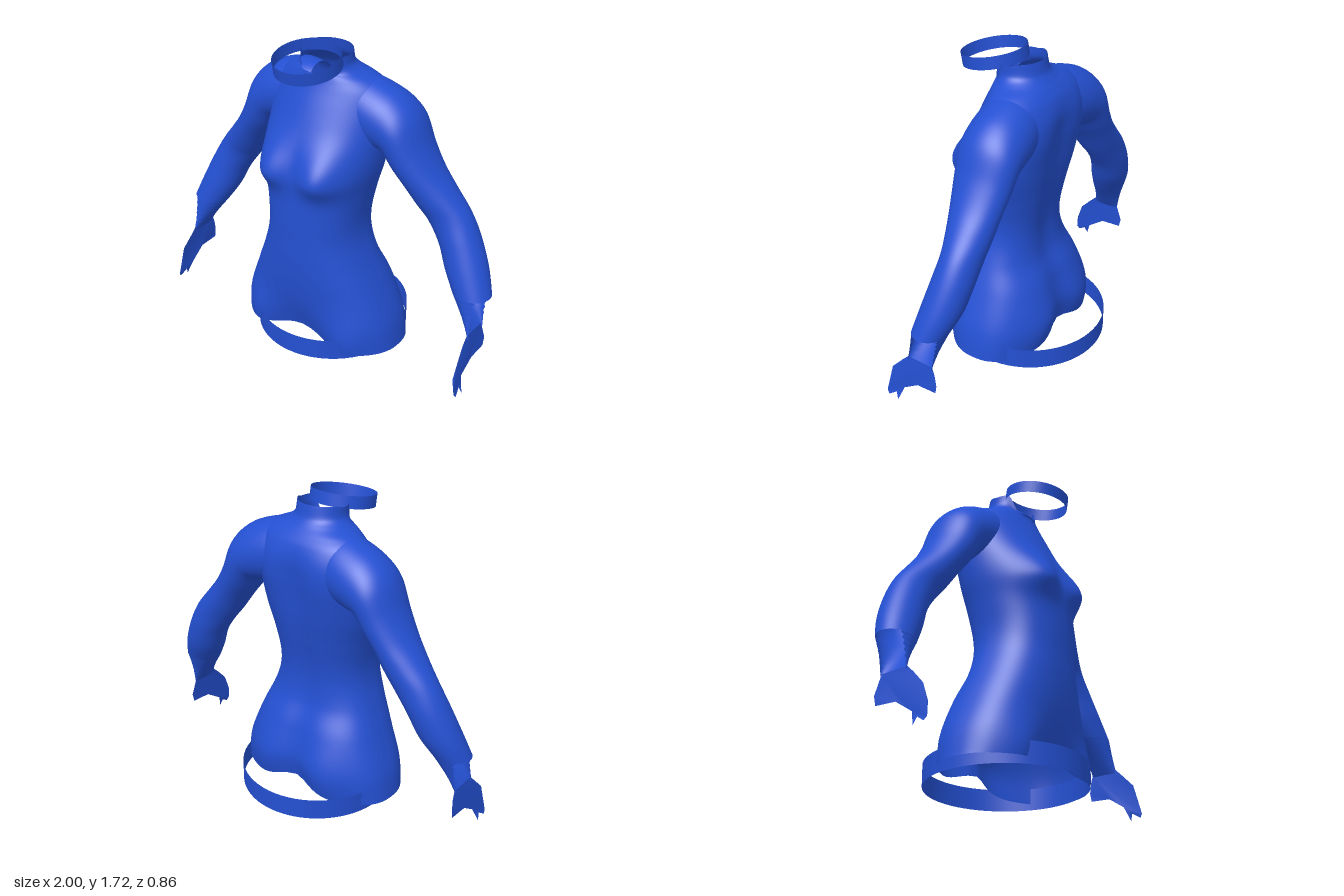
import * as THREE from 'three';

// Smooth interpolation through a list of cross-section rows
function sample(rows, t) {
  const f = t * (rows.length - 1);
  const i = Math.min(Math.floor(f), rows.length - 2);
  const k = f - i;
  const at = (n) => rows[Math.max(0, Math.min(rows.length - 1, n))];
  return rows[i].map((_, c) => {
    const a = at(i - 1)[c], b = at(i)[c], d = at(i + 1)[c], e = at(i + 2)[c];
    return b + 0.5 * k * (d - a + k * (2 * a - 5 * b + 4 * d - e + k * (3 * (b - d) + e - a)));
  });
}

// Grid surface; u runs around, v along; closed surfaces share their seam
function surface(nu, nv, closed, point) {
  const pos = [], index = [], cols = closed ? nu : nu + 1;
  for (let j = 0; j <= nv; j++)
    for (let i = 0; i < cols; i++) pos.push(...point(i / nu, j / nv));
  for (let j = 0; j < nv; j++)
    for (let i = 0; i < nu; i++) {
      const a = j * cols + i, b = j * cols + ((i + 1) % cols);
      index.push(a, a + cols, b, b, a + cols, b + cols);
    }
  const g = new THREE.BufferGeometry();
  g.setAttribute('position', new THREE.Float32BufferAttribute(pos, 3));
  g.setIndex(index);
  g.computeVertexNormals();
  return g;
}

const bell = (d, s) => Math.exp(-(d * d) / (s * s));
const power = (c, p) => Math.sign(c) * Math.abs(c) ** p;
const step = THREE.MathUtils.smoothstep;

// Torso rows: y, half width, front z, back z, z of widest point, roundness
const TORSO = [
  [0.04, 0.492, 0.29, -0.2, 0.06, 0.78],
  [0.2, 0.463, 0.33, -0.215, 0.06, 0.8],
  [0.4, 0.385, 0.36, -0.185, 0.07, 0.82],
  [0.55, 0.322, 0.37, -0.13, 0.09, 0.85],
  [0.68, 0.28, 0.37, -0.115, 0.1, 0.85],
  [0.8, 0.272, 0.37, -0.125, 0.1, 0.85],
  [0.95, 0.295, 0.365, -0.155, 0.08, 0.88],
  [1.08, 0.325, 0.355, -0.18, 0.05, 0.92],
  [1.2, 0.34, 0.325, -0.195, 0.02, 0.95],
  [1.32, 0.35, 0.275, -0.21, -0.01, 1],
  [1.42, 0.35, 0.23, -0.21, -0.03, 1.05],
  [1.5, 0.33, 0.192, -0.185, -0.035, 1.08],
  [1.55, 0.265, 0.172, -0.15, -0.02, 1.05],
  [1.585, 0.185, 0.165, -0.118, 0.01, 1],
  [1.62, 0.147, 0.168, -0.092, 0.04, 1],
  [1.675, 0.14, 0.178, -0.075, 0.05, 1],
];

function torsoPoint(u, v) {
  const [y0, w, zf, zb, zc, p] = sample(TORSO, v);
  const c = Math.cos(u * Math.PI * 2), s = Math.sin(u * Math.PI * 2);
  const x = w * power(c, p), ax = Math.abs(x);
  let y = y0, z = zc + (s > 0 ? zf - zc : zc - zb) * power(s, p);
  const front = step(s, 0, 0.5), back = step(-s, 0, 0.5);
  // breasts, with a sharper fold underneath, and the front of the thighs
  z += front * 0.075 * bell(ax - 0.17, 0.125) * bell(y - 1.07, y < 1.07 ? 0.09 : 0.15);
  z += front * 0.06 * bell(ax - 0.3, 0.14) * bell(y - 0.04, 0.2);
  // buttocks, shoulder blades and the groove along the spine
  z -= back * 0.035 * bell(ax - 0.2, 0.15) * bell(y - 0.16, 0.2);
  z -= back * 0.02 * bell(ax - 0.2, 0.12) * bell(y - 1.3, 0.2);
  z += back * 0.02 * bell(x, 0.09) * (1 - step(y, 1.3, 1.55));
  // raised hem in the middle, neckline lowered at the front
  y += 0.065 * bell(x, 0.17) * (1 - step(y0, 0.04, 0.4));
  y -= 0.11 * step(s, 0.45, 0.85) * step(y0, 1.57, 1.675);
  y += 0.014 * back * step(y0, 1.62, 1.675);
  return [x, y, z];
}

// Arm rows from wrist to inside the shoulder: outer x, y, inner x, y, front z, back z
const ARM = [
  [1.0, 0.52, 0.79, 0.51, 0.1, -0.09],
  [0.95, 0.65, 0.72, 0.62, 0.08, -0.14],
  [0.88, 0.8, 0.66, 0.745, 0.055, -0.165],
  [0.81, 0.92, 0.585, 0.85, 0.045, -0.172],
  [0.72, 1.03, 0.525, 0.93, 0.07, -0.18],
  [0.64, 1.13, 0.46, 1.03, 0.1, -0.188],
  [0.57, 1.25, 0.4, 1.11, 0.125, -0.2],
  [0.505, 1.4, 0.345, 1.18, 0.14, -0.21],
  [0.42, 1.487, 0.29, 1.19, 0.145, -0.208],
  [0.31, 1.538, 0.22, 1.2, 0.15, -0.2],
  [0.2, 1.565, 0.14, 1.22, 0.145, -0.18],
  [0.1, 1.56, 0.06, 1.26, 0.11, -0.14],
];

// Half cuff rows, top of hand to sleeve end
const CUFF = [
  [0.965, 0.31, 0.935, 0.31, 0.125, -0.03],
  [0.985, 0.42, 0.865, 0.41, 0.11, -0.055],
  [1.0, 0.52, 0.79, 0.51, 0.1, -0.09],
];

function limbPoint(rows, angle, v) {
  const [ox, oy, ix, iy, zf, zb] = sample(rows, v);
  const k = (1 + Math.cos(angle)) / 2;
  return [ix + (ox - ix) * k, iy + (oy - iy) * k,
    (zf + zb) / 2 + ((zf - zb) / 2) * Math.sin(angle)];
}

// Flat remnant of the hand, outlined in z and y
const HAND = [
  [0.125, 0.33], [0.165, 0.29], [0.23, 0.22], [0.255, 0.13], [0.27, 0.05],
  [0.255, 0.03], [0.21, 0.06], [0.195, 0.02], [0.165, 0.1], [0.07, 0.165],
  [-0.05, 0.17], [-0.06, 0.22], [-0.045, 0.28], [-0.03, 0.325],
];

function handGeometry() {
  const g = new THREE.ShapeGeometry(new THREE.Shape(HAND.map((p) => new THREE.Vector2(...p))));
  const p = g.attributes.position;
  for (let i = 0; i < p.count; i++) {
    const z = p.getX(i), y = p.getY(i);
    const x = 0.943 + 0.03 * (1 - step(y, 0.02, 0.12)) + 0.012 * bell(y - 0.2, 0.06);
    p.setXYZ(i, x, y, z);
  }
  g.computeVertexNormals();
  return g;
}

export function createModel() {
  const blue = new THREE.MeshStandardMaterial({ color: 0x2450d2, side: THREE.DoubleSide });
  blue.name = 'blue';
  const model = new THREE.Group();
  model.name = 'bodysuit';
  const add = (parent, name, geometry) => {
    const mesh = new THREE.Mesh(geometry, blue);
    mesh.name = name;
    parent.add(mesh);
    return mesh;
  };

  add(model, 'torso', surface(96, 110, true, torsoPoint));

  // Sleeves with a ragged half cuff and hand piece, mirrored
  for (const side of [1, -1]) {
    const arm = new THREE.Group();
    arm.name = side > 0 ? 'leftArm' : 'rightArm';
    add(arm, 'sleeve', surface(48, 66, true, (u, v) => limbPoint(ARM, u * Math.PI * 2, v)));
    add(arm, 'cuff', surface(20, 14, false, (u, v) => {
      const ragged = Math.round(v * 14) % 2 ? 0.04 : 0;
      const start = Math.PI * (0.48 - 0.14 * v - ragged);
      return limbPoint(CUFF, start + u * 2 * (Math.PI - start), v);
    }));
    add(arm, 'hand', handGeometry());
    arm.scale.x = side;
    model.add(arm);
  }

  // Open bands at the hips and in front of the neck
  add(model, 'hipBand', new THREE.CylinderGeometry(0.428, 0.428, 0.12, 64, 1, true))
    .position.y = 0.066;
  const collar = add(model, 'collar', new THREE.CylinderGeometry(0.177, 0.177, 0.068, 48, 1, true));
  collar.position.set(0, 1.66, 0.218);
  collar.rotation.x = 0.185;

  // Stand the lowest edge on the ground
  const box = new THREE.Box3().setFromObject(model);
  for (const part of model.children) part.position.y -= box.min.y;
  return model;
}
